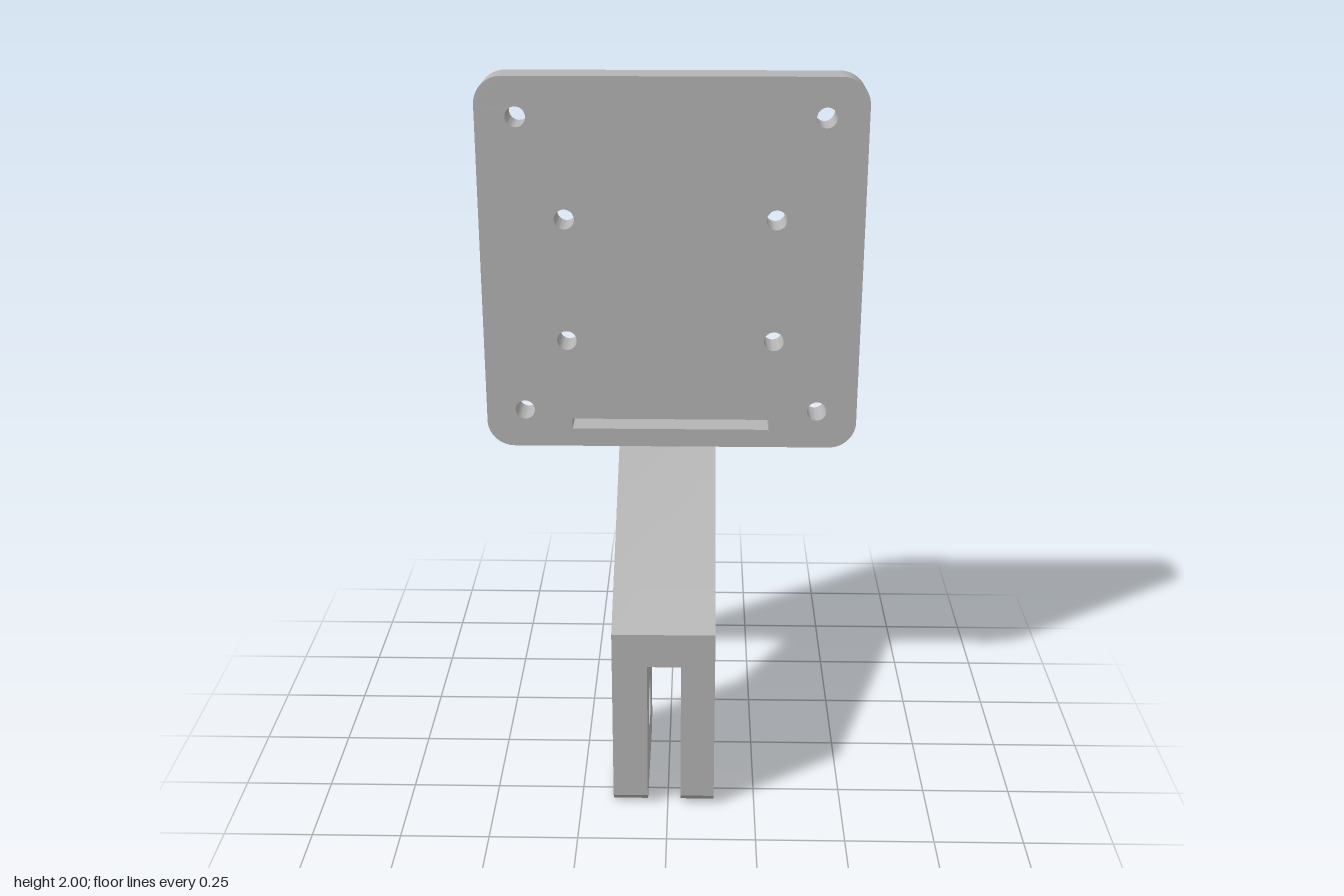
import * as THREE from 'three';
import { toCreasedNormals } from 'three/addons/utils/BufferGeometryUtils.js';

const circleHole = (x, y, r) => new THREE.Path().absarc(x, y, r, 0, Math.PI * 2, true);
const polygon = (pts) => new THREE.Shape(pts.map(([x, y]) => new THREE.Vector2(x, y)));

function extrude(shape, depth) {
  const geo = new THREE.ExtrudeGeometry(shape, { depth, bevelEnabled: false, curveSegments: 16 });
  return toCreasedNormals(geo, 0.6);
}

// Side profile given as [z, y], extruded from x0 to x1
function extrudeSide(points, x0, x1, hole) {
  const shape = polygon(points.map(([z, y]) => [-z, y]));
  if (hole) shape.holes.push(circleHole(-hole[0], hole[1], hole[2]));
  return extrude(shape, x1 - x0).rotateY(Math.PI / 2).translate(x0, 0, 0);
}

export function createModel() {
  const model = new THREE.Group();
  model.name = 'mountingBracket';
  const grey = new THREE.MeshStandardMaterial({ color: 0xb4b4b4 });
  grey.name = 'plain grey';
  const add = (name, geometry) => {
    const mesh = new THREE.Mesh(geometry, grey);
    mesh.name = name;
    model.add(mesh);
  };

  // Plate with rounded corners
  const w = 0.553, y0 = 0.897, y1 = 2, r = 0.08;
  const plate = new THREE.Shape();
  plate.absarc(w - r, y0 + r, r, -Math.PI / 2, 0);
  plate.absarc(w - r, y1 - r, r, 0, Math.PI / 2);
  plate.absarc(-w + r, y1 - r, r, Math.PI / 2, Math.PI);
  plate.absarc(-w + r, y0 + r, r, Math.PI, Math.PI * 1.5);
  plate.closePath();

  // Outer and inner screw holes
  for (const x of [-0.438, 0.434]) for (const y of [1.013, 1.887]) plate.holes.push(circleHole(x, y, 0.029));
  for (const x of [-0.308, 0.301]) for (const y of [1.231, 1.595]) plate.holes.push(circleHole(x, y, 0.029));

  // Strap slot near the lower edge
  plate.holes.push(polygon([[-0.297, 0.953], [-0.297, 0.985], [0.291, 0.985], [0.291, 0.953]]));
  add('plate', extrude(plate, 0.111).translate(0, 0, -0.333));

  // Sloping arm above the fork
  const front = 0.333, back = -0.107, forkTop = 0.455, c = 0.03;
  add('arm', extrudeSide([
    [front, forkTop], [back, forkTop], [back, 0.557],
    [-0.333, y0], [-0.222, y0], [front, 0.557],
  ], -0.157, 0.133));

  // Two fork prongs with chamfered feet and a bolt hole
  const prong = [
    [front, forkTop], [front, c], [front - c, 0],
    [back + c, 0], [back, c], [back, forkTop],
  ];
  add('rightProng', extrudeSide(prong, -0.157, -0.058, [0.113, 0.22, 0.08]));
  add('leftProng', extrudeSide(prong, 0.037, 0.133, [0.113, 0.22, 0.08]));

  return model;
}
